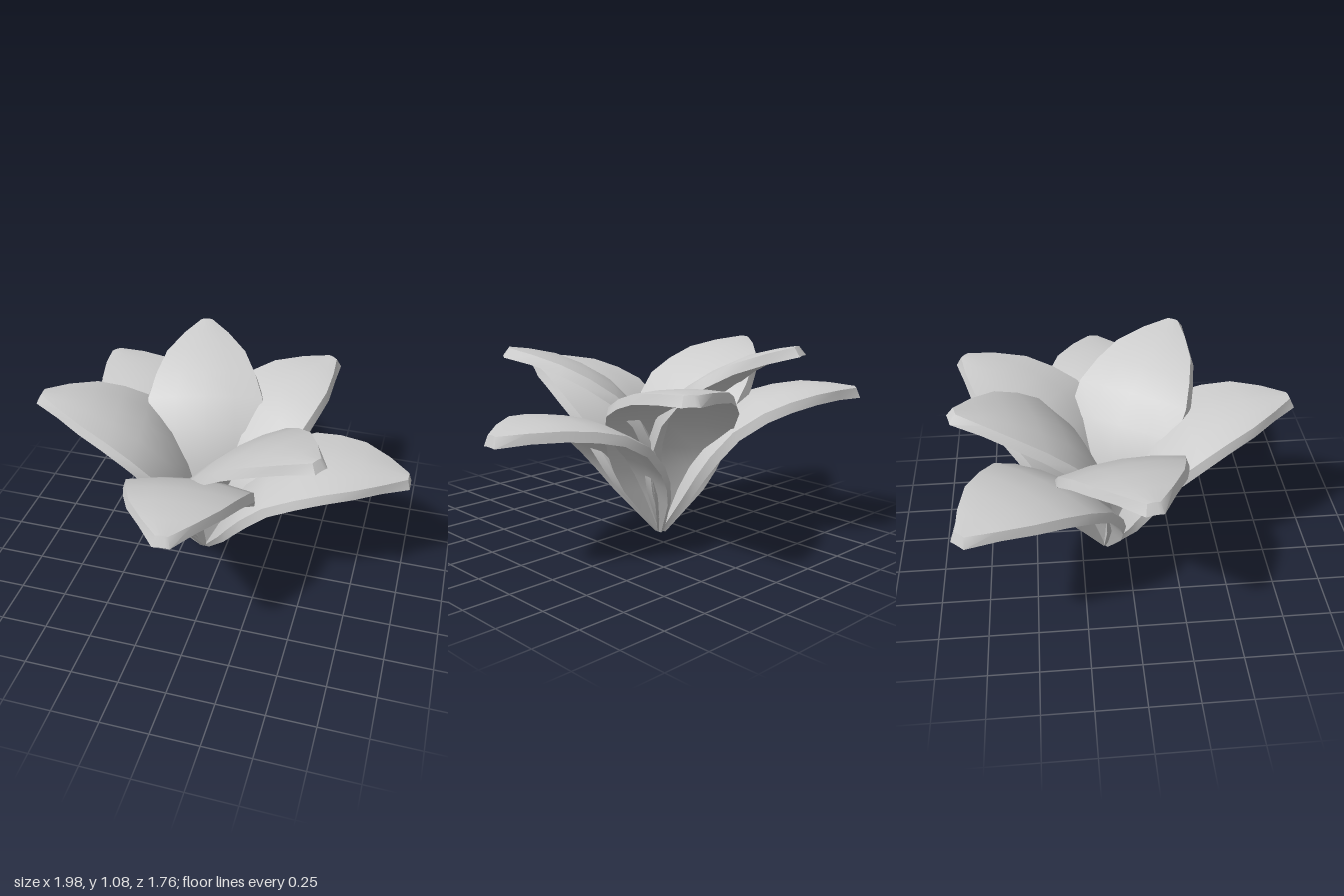
import * as THREE from 'three';
import { toCreasedNormals } from 'three/addons/utils/BufferGeometryUtils.js';

// Petal stations: reach, height, half width, thickness, droop of the edges
const STATIONS = [
  [0.00, 0.000, 0.025, 0.025, 0.000],
  [0.10, 0.250, 0.200, 0.040, 0.030],
  [0.165, 0.375, 0.260, 0.045, 0.035],
  [0.24, 0.490, 0.295, 0.050, 0.040],
  [0.37, 0.620, 0.315, 0.050, 0.040],
  [0.54, 0.705, 0.315, 0.050, 0.035],
  [0.69, 0.735, 0.275, 0.050, 0.028],
  [0.84, 0.745, 0.220, 0.050, 0.020],
  [0.98, 0.730, 0.125, 0.050, 0.010],
  [1.09, 0.710, 0.030, 0.050, 0.003],
];
const ACROSS = [-1, -0.5, 0, 0.5, 1];

// Closed thick blade swept along the bent midrib
function petalGeometry() {
  const pos = [], idx = [];
  const last = STATIONS.length - 1;
  STATIONS.forEach(([x, y, w, t, droop], i) => {
    const a = STATIONS[Math.max(i - 1, 0)], b = STATIONS[Math.min(i + 1, last)];
    const len = Math.hypot(b[0] - a[0], b[1] - a[1]);
    const tx = (b[0] - a[0]) / len, ty = (b[1] - a[1]) / len;
    const put = (h, z, ahead) => pos.push(x - ty * h + tx * ahead, y + tx * h + ty * ahead, z);
    for (const u of ACROSS) put(-droop * u * u, u * w, 0);
    // the underside is a little wider, which slopes the rim
    const out = i === 0 ? 0 : 0.012, ahead = i === last ? 0.025 : 0;
    for (const u of [...ACROSS].reverse()) put(-droop * u * u - t, u * (w + out), ahead);
  });
  const n = ACROSS.length * 2;
  for (let i = 0; i < last; i++) {
    for (let k = 0; k < n; k++) {
      const a = i * n + k, b = i * n + (k + 1) % n;
      idx.push(a, b, a + n, b, b + n, a + n);
    }
  }
  // end caps, as strips between top and underside
  for (let k = 0; k < ACROSS.length - 1; k++) {
    const a = k, b = k + 1, c = n - 2 - k, d = n - 1 - k, e = last * n;
    idx.push(a, c, b, a, d, c, e + a, e + b, e + c, e + a, e + c, e + d);
  }
  const geo = new THREE.BufferGeometry();
  geo.setAttribute('position', new THREE.Float32BufferAttribute(pos, 3));
  geo.setIndex(idx);
  return toCreasedNormals(geo, 0.75);
}

export function createModel() {
  const model = new THREE.Group();
  model.name = 'flower';
  const petalGrey = new THREE.MeshStandardMaterial({ color: 0xcccccc });
  petalGrey.name = 'petalGrey';

  // Seven equal petals on a golden-angle spiral, each more upright than the last
  const geo = petalGeometry();
  const tilts = [0, 4.7, 9.2, 12.3, 16, 19.2, 22];
  const blossom = new THREE.Group();
  blossom.name = 'blossom';
  blossom.position.set(-0.12, 0, -0.11);
  tilts.forEach((tilt, i) => {
    const petal = new THREE.Mesh(geo, petalGrey);
    petal.name = `petal${i + 1}`;
    petal.rotation.set(0, -THREE.MathUtils.degToRad(222.5 * i), THREE.MathUtils.degToRad(tilt));
    blossom.add(petal);
  });
  model.add(blossom);
  return model;
}
